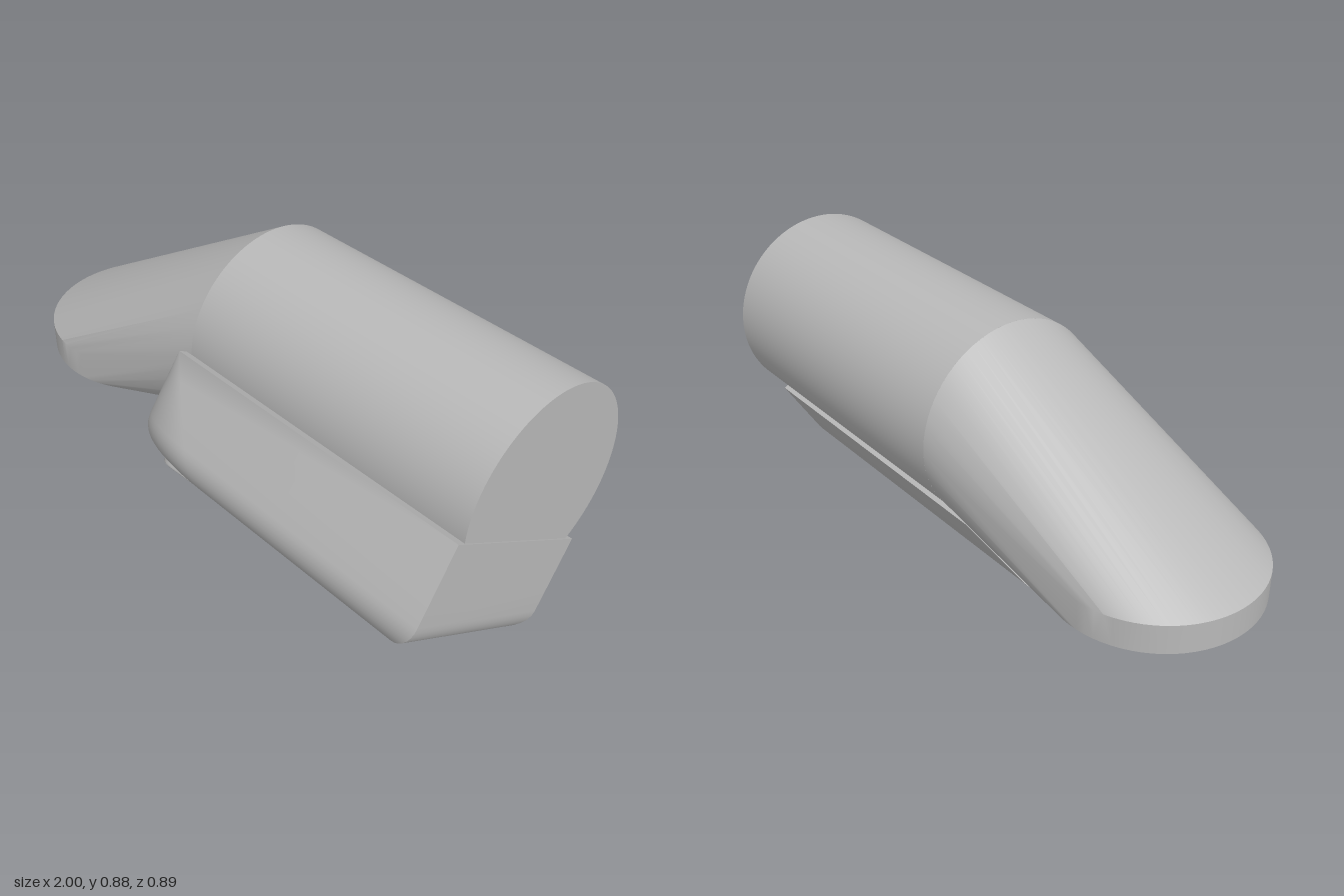
import * as THREE from 'three';
import { toCreasedNormals } from 'three/addons/utils/BufferGeometryUtils.js';
import { ConvexGeometry } from 'three/addons/geometries/ConvexGeometry.js';

const R = 0.32, LENGTH = 1.085, YAW = 0.078;
const END = new THREE.Vector3(0.955, 0.56, -0.12); // centre of the flat barrel end
const DEPTH = 0.355, WIDTH = 0.631, FILLET = 0.11;

// Rounded housing, stacked from outlines in (length, width) along its depth
function housingGeometry() {
  const layers = [0, 0.08, 0.16, DEPTH - FILLET].map(v => [v, 0]);
  for (let i = 1; i <= 10; i++) {
    const a = (i / 10) * Math.PI / 2;
    layers.push([DEPTH - FILLET + FILLET * Math.sin(a), 1 - Math.cos(a)]);
  }
  const steps = 12, n = steps + 4, pos = [], index = [];
  for (const [v, f] of layers) {
    const left = -1.105 - 0.48 * v, right = 0.004 - 0.15 * f;
    const back = -WIDTH + FILLET * f, front = -FILLET * f;
    const ra = 0.35 * v / 0.3 + 0.001, rb = 0.18 * v / 0.3 + 0.001;
    pos.push(left, back, v, right, back, v, right, front, v);
    for (let j = 0; j <= steps; j++) { // swept-back front corner
      const a = Math.PI / 2 * (1 + j / steps);
      pos.push(left + ra + ra * Math.cos(a), front - rb + rb * Math.sin(a), v);
    }
  }
  for (let i = 0; i < layers.length - 1; i++) {
    for (let j = 0; j < n; j++) {
      const k = (j + 1) % n, a = i * n, b = a + n;
      index.push(a + j, a + k, b + k, a + j, b + k, b + j);
    }
  }
  const last = (layers.length - 1) * n;
  for (let j = 1; j < n - 1; j++) {
    index.push(0, j + 1, j);
    index.push(last, last + j, last + j + 1);
  }
  const g = new THREE.BufferGeometry();
  g.setAttribute('position', new THREE.Float32BufferAttribute(pos, 3));
  g.setIndex(index);
  return toCreasedNormals(g, 0.6);
}

// Tapered panel with rounded corners
function panelGeometry() {
  const c = [[-1.1, -0.515], [-0.24, -0.455], [-0.24, -0.16], [-1.1, -0.085]]
    .map(p => new THREE.Vector2(...p));
  const shape = new THREE.Shape();
  c.forEach((p, i) => {
    const prev = c[(i + 3) % 4], next = c[(i + 1) % 4];
    const a = p.clone().add(prev.clone().sub(p).setLength(0.07));
    const b = p.clone().add(next.clone().sub(p).setLength(0.07));
    if (i === 0) shape.moveTo(a.x, a.y); else shape.lineTo(a.x, a.y);
    shape.quadraticCurveTo(p.x, p.y, b.x, b.y);
  });
  shape.closePath();
  const g = new THREE.ExtrudeGeometry(shape, {
    depth: 0.035, bevelThickness: 0.006, bevelSize: 0.006, bevelOffset: -0.006, bevelSegments: 3, curveSegments: 8,
  });
  return toCreasedNormals(g, 0.6);
}

// Sloping nose: hull between the barrel's inner end and a flat round foot
function noseGeometry() {
  const points = [], n = 72;
  for (let i = 0; i < n; i++) {
    const a = (i / n) * Math.PI * 2, c = Math.cos(a), s = Math.sin(a);
    for (const y of [0.255, 0.35]) points.push(new THREE.Vector3(-0.675 + 0.325 * c, y, 0.09 + 0.325 * s));
    points.push(new THREE.Vector3(-LENGTH, R * s, R * c)
      .applyAxisAngle(new THREE.Vector3(0, 1, 0), YAW).add(END));
  }
  return toCreasedNormals(new ConvexGeometry(points), 0.5);
}

export function createModel() {
  const grey = new THREE.MeshStandardMaterial({ color: 0xb8b8b8 });
  grey.name = 'plain grey';
  const model = new THREE.Group();
  const add = (parent, name, geometry) => {
    const mesh = new THREE.Mesh(geometry, grey);
    mesh.name = name;
    parent.add(mesh);
    return mesh;
  };

  add(model, 'nose', noseGeometry());

  // Barrel and housing share the slightly turned long axis
  const body = new THREE.Group();
  body.name = 'body';
  body.position.copy(END);
  body.rotation.y = YAW;
  model.add(body);

  const barrel = add(body, 'barrel', new THREE.CylinderGeometry(R, R, LENGTH, 96));
  barrel.rotation.z = Math.PI / 2;
  barrel.position.x = -LENGTH / 2;

  // Housing tilted around the barrel axis
  const lower = new THREE.Group();
  lower.name = 'lowerUnit';
  lower.position.set(0, 0.035, 0.35);
  lower.rotation.x = 1.012;
  body.add(lower);
  add(lower, 'housing', housingGeometry());
  add(lower, 'panel', panelGeometry()).position.z = DEPTH - 0.033;

  return model;
}
